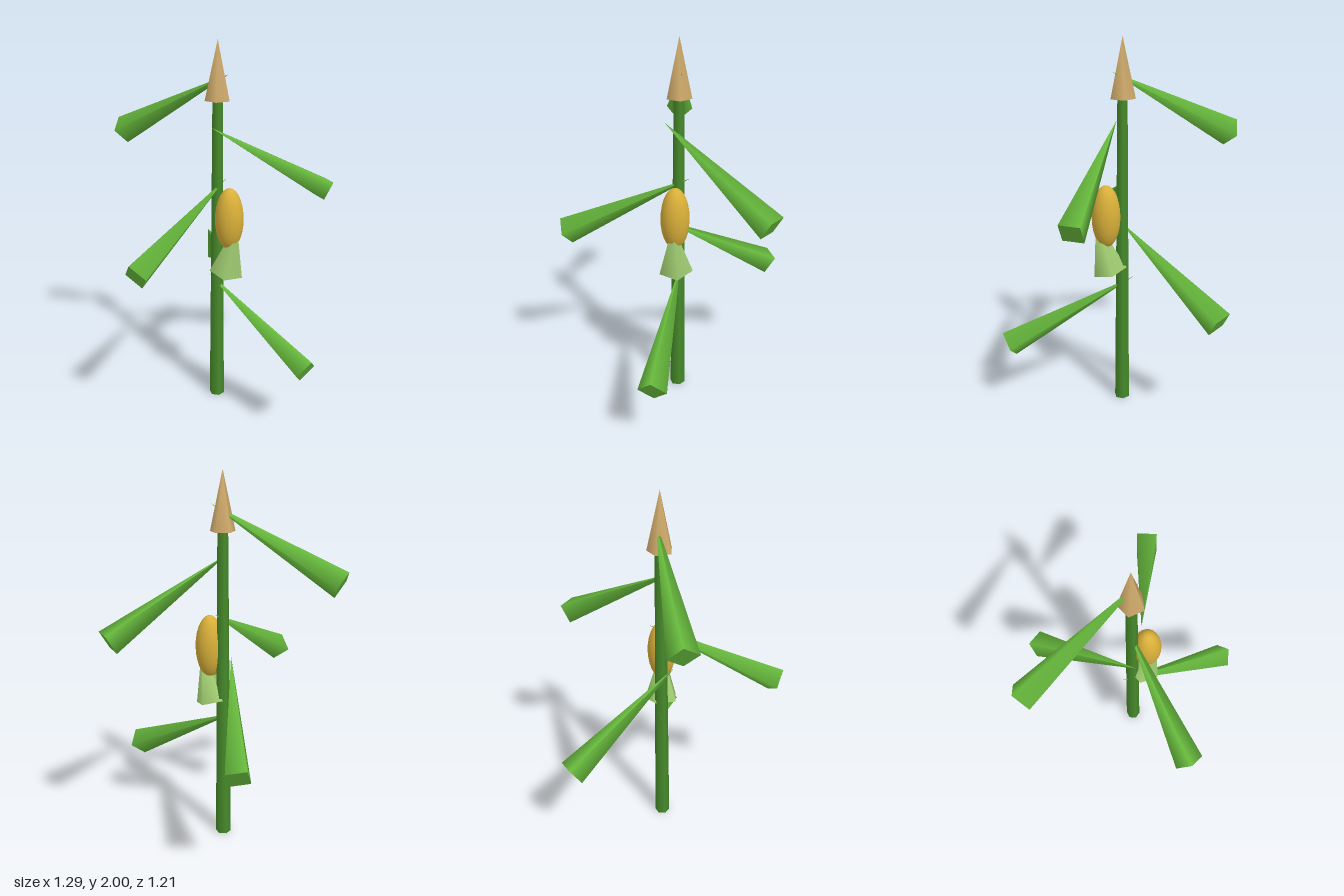
import * as THREE from 'three';

const material = (name, color) => {
  const m = new THREE.MeshStandardMaterial({ color });
  m.name = name;
  return m;
};

export function createModel() {
  const stalkGreen = material('stalk green', 0x468a2a);
  const leafGreen = material('leaf green', 0x66b83c);
  const huskGreen = material('husk green', 0x9fcb70);
  const cobYellow = material('cob yellow', 0xdab03a);
  const tasselTan = material('tassel tan', 0xcfaa6b);

  const plant = new THREE.Group();
  plant.name = 'cornPlant';
  const add = (name, geometry, mat, x, y, z = 0) => {
    const mesh = new THREE.Mesh(geometry, mat);
    mesh.name = name;
    mesh.position.set(x, y, z);
    plant.add(mesh);
    return mesh;
  };

  // Tapering hexagonal stalk
  add('stalk', new THREE.CylinderGeometry(0.027, 0.042, 1.72, 6), stalkGreen, 0, 0.86);

  // Tassel: five-sided cone, one corner to the back
  add('tassel', new THREE.ConeGeometry(0.067, 0.3, 5), tasselTan, 0, 1.85).rotation.y = Math.PI;

  // Drooping leaves spiral up the stalk by the golden angle, points inward
  const leafShape = new THREE.ConeGeometry(0.075, 0.762, 4);
  const goldenAngle = THREE.MathUtils.degToRad(137.5);
  for (let i = 0; i < 5; i++) {
    const a = i * goldenAngle, c = Math.cos(a), s = Math.sin(a);
    const leaf = add(`leaf${i + 1}`, leafShape, leafGreen, 0.28 * c, 0.5625 + 0.274 * i, -0.28 * s);
    leaf.rotation.set(1.1 * s, 0, 1.1 * c, 'ZYX');
  }

  // Ear: long cob sitting in a tilted husk
  add('cob', new THREE.SphereGeometry(0.076, 20, 14), cobYellow, 0.086, 1.087).scale.y = 0.17 / 0.076;
  const huskShape = new THREE.ConeGeometry(0.094, 0.3, 5).rotateY(Math.PI);
  add('husk', huskShape, huskGreen, 0.104, 0.93).rotation.z = -0.24;

  plant.position.set(-0.008, 0, -0.044);
  const model = new THREE.Group();
  model.name = 'model';
  model.add(plant);
  return model;
}
